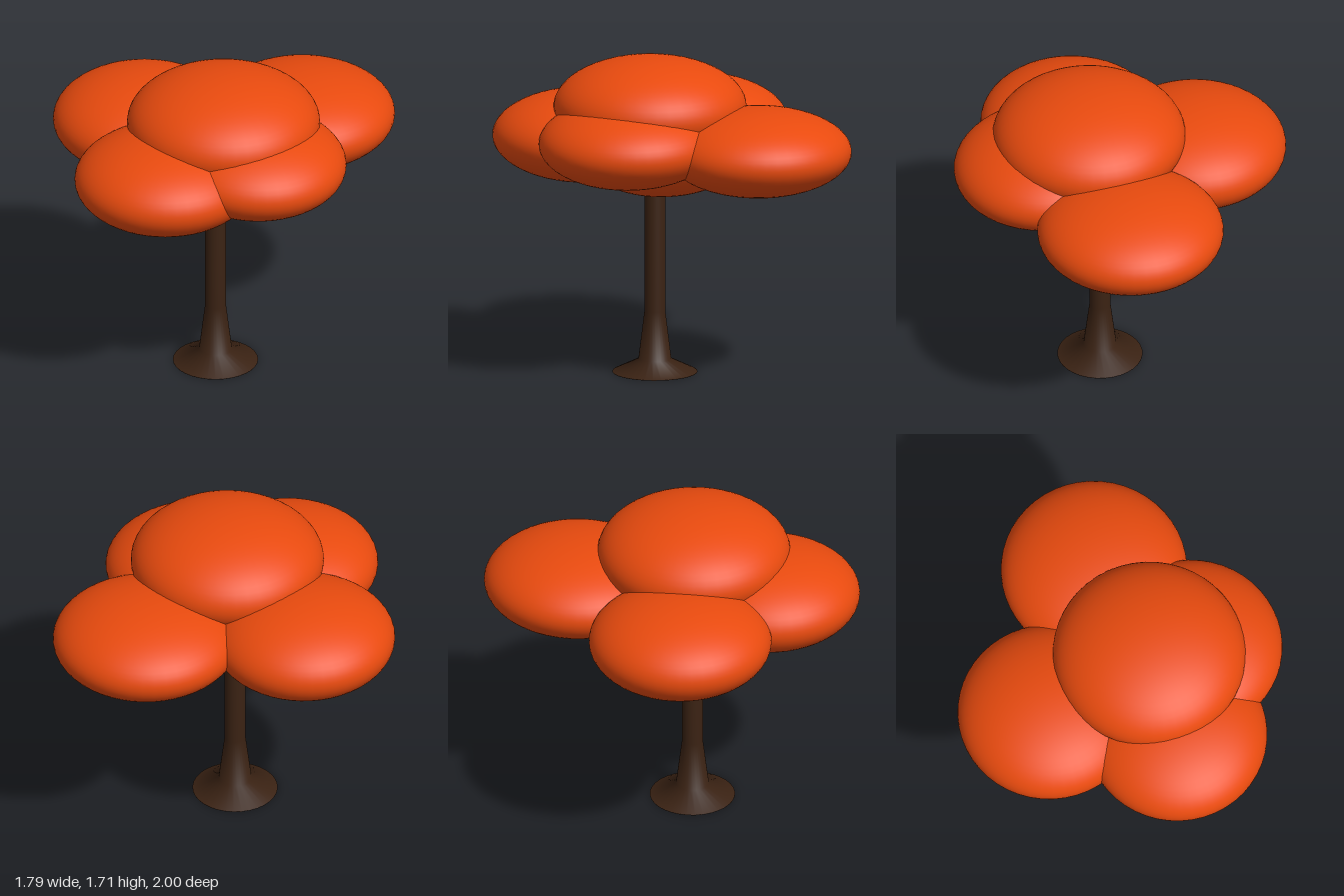
import * as THREE from 'three';

export function createModel() {
  const tree = new THREE.Group();
  tree.name = 'tree';
  const leafMaterial = new THREE.MeshStandardMaterial({ color: 0xe84a0e });
  const barkMaterial = new THREE.MeshStandardMaterial({ color: 0x3a2213 });

  // Trunk: flared foot, tapered lower stem, straight upper stem
  const profile = [
    [0, 0], [0.225, 0], [0.225, 0.002], [0.087, 0.07], [0.055, 0.33], [0.055, 1.15], [0, 1.15],
  ].map(([r, y]) => new THREE.Vector2(r, y));
  const trunk = new THREE.Mesh(new THREE.LatheGeometry(profile, 32), barkMaterial);
  trunk.name = 'trunk';
  trunk.position.set(0.11, 0, 0.11);
  tree.add(trunk);

  // Foliage: overlapping flattened spheres, [name, centre, radii, tilt about z]
  const foliage = new THREE.Group();
  foliage.name = 'foliage';
  const sphere = new THREE.SphereGeometry(1, 48, 32);
  const clumps = [
    ['topFoliage', [0.17, 1.45, 0.11], [0.51, 0.26, 0.51], 0],
    ['bottomFoliage', [0.05, 1.215, 0.09], [0.49, 0.26, 0.46], 0],
    ['frontFoliage', [0.14, 1.25, 0.51], [0.48, 0.237, 0.485], 0],
    ['backFoliage', [0.137, 1.255, -0.505], [0.492, 0.227, 0.495], 0],
    ['rightFoliage', [-0.415, 1.25, 0.115], [0.485, 0.24, 0.483], 0],
    ['leftFoliage', [0.415, 1.3, 0.115], [0.48, 0.228, 0.48], -0.04],
  ];
  for (const [name, centre, radii, tilt] of clumps) {
    const clump = new THREE.Mesh(sphere, leafMaterial);
    clump.name = name;
    clump.position.set(...centre);
    clump.scale.set(...radii);
    clump.rotation.z = tilt;
    foliage.add(clump);
  }
  tree.add(foliage);
  return tree;
}
